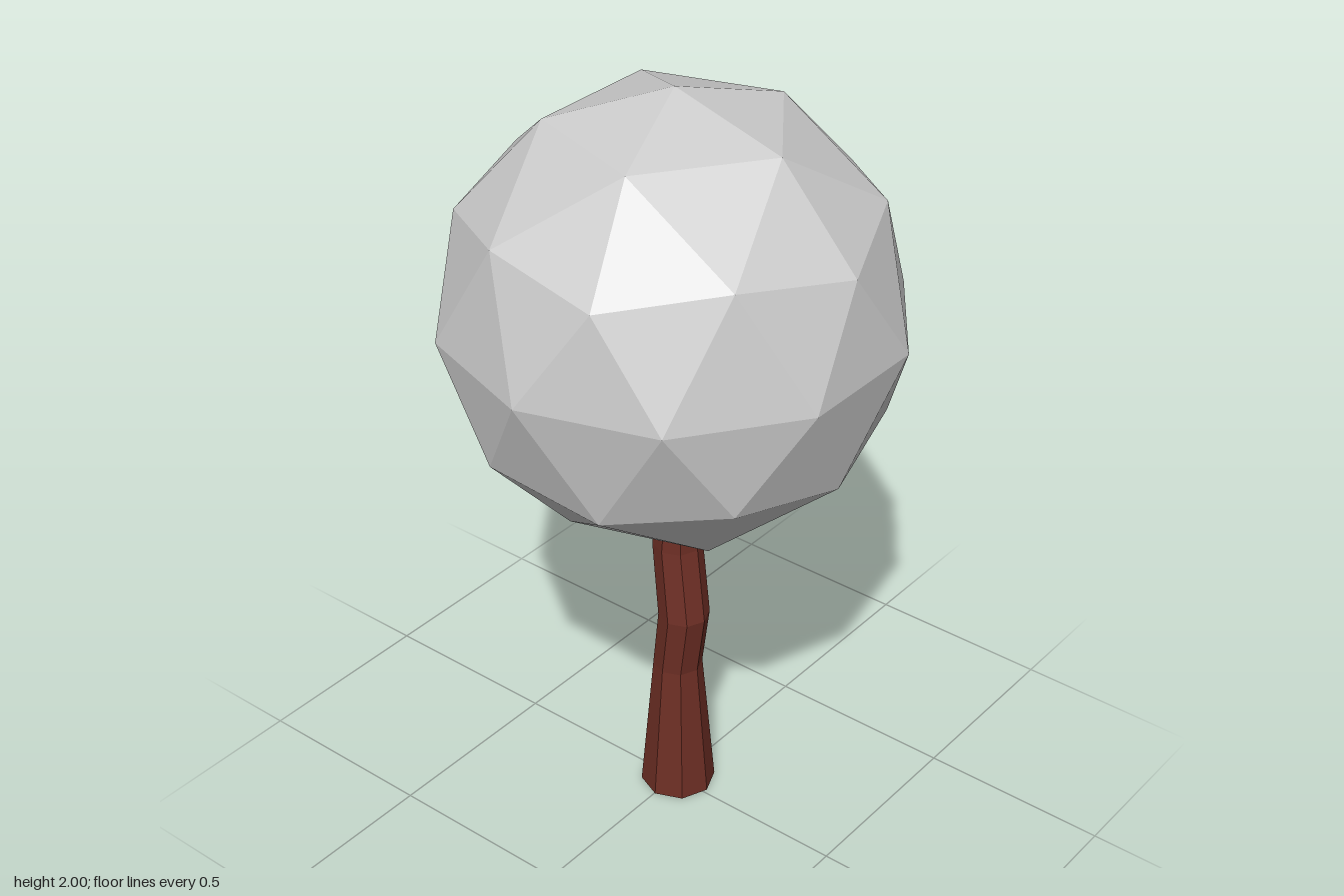
import * as THREE from 'three';

export function createModel() {
  const tree = new THREE.Group();
  tree.name = 'tree';
  const leafGrey = new THREE.MeshStandardMaterial({ color: 0xcccccc, flatShading: true });
  leafGrey.name = 'leafGrey';
  const barkBrown = new THREE.MeshStandardMaterial({ color: 0x6e2f25, flatShading: true });
  barkBrown.name = 'barkBrown';

  // crown: faceted ball, turned so that one corner points straight up
  const ball = new THREE.IcosahedronGeometry(0.572, 1);
  ball.rotateZ(-Math.atan(2 / (1 + Math.sqrt(5))));
  const crown = new THREE.Mesh(ball, leafGrey);
  crown.name = 'crown';
  crown.position.y = 1.428;
  tree.add(crown);

  // trunk: eight-sided column bent through rings of [y, x, z, radius]
  const rings = [
    [0, 0.002, -0.012, 0.098],
    [0.39, 0.004, -0.008, 0.064],
    [0.56, 0.028, -0.003, 0.066],
    [0.76, -0.002, -0.014, 0.064],
    [0.93, 0.006, -0.012, 0.054],
  ];
  const sides = 8;
  const column = new THREE.CylinderGeometry(1, 1, 1, sides, rings.length - 1);
  const p = column.attributes.position;
  for (let i = 0; i < p.count; i++) {
    const [y, x, z, r] = rings[Math.round((p.getY(i) + 0.5) * (rings.length - 1))];
    p.setXYZ(i, x + p.getX(i) * r, y, z + p.getZ(i) * r);
  }
  column.computeVertexNormals();
  const trunk = new THREE.Mesh(column, barkBrown);
  trunk.name = 'trunk';
  tree.add(trunk);

  return tree;
}
